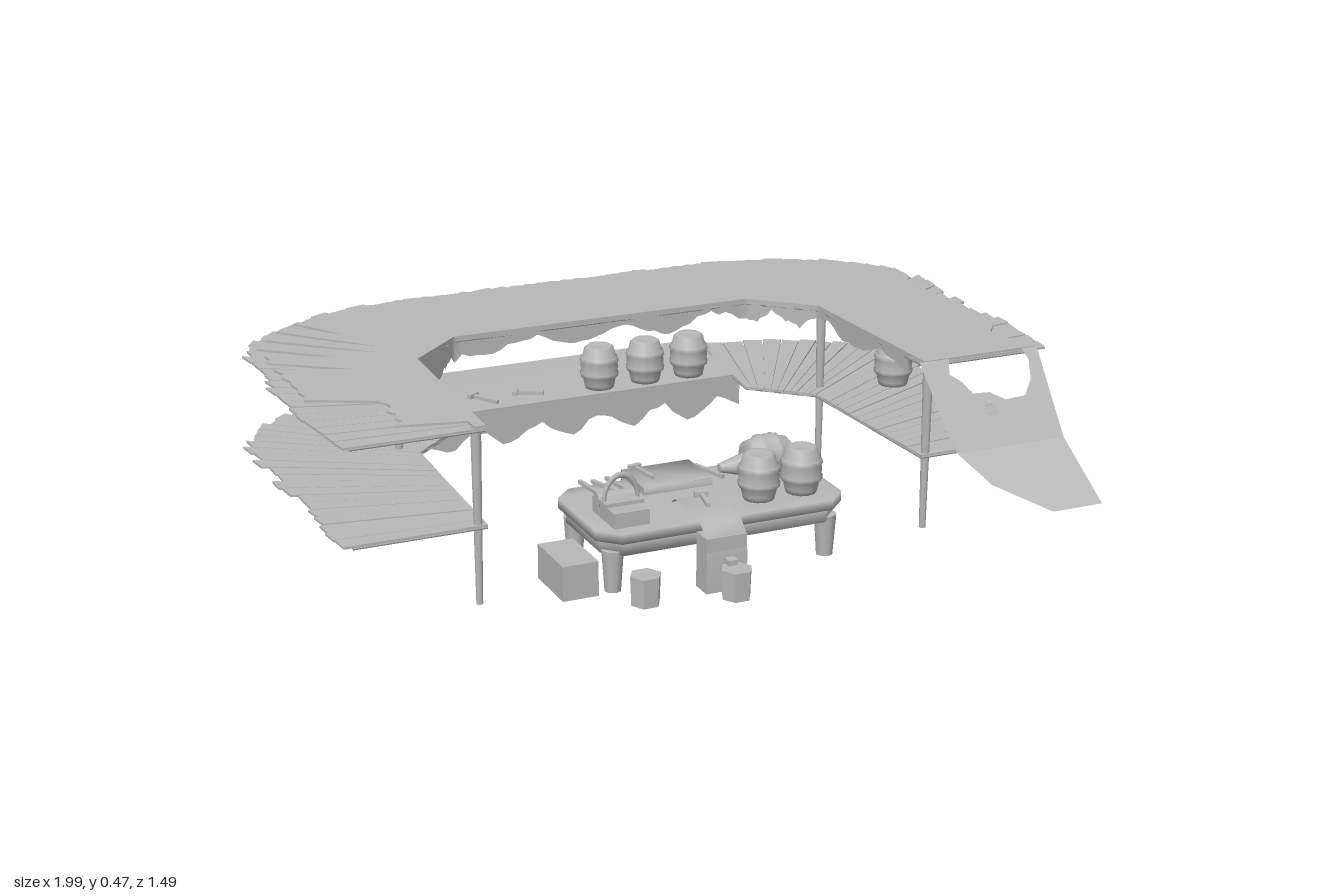
import * as THREE from 'three';
import { mergeVertices } from 'three/addons/utils/BufferGeometryUtils.js';

export function createModel() {
  const root = new THREE.Group();
  const grey = new THREE.MeshStandardMaterial({ color: 0xb8b8b8, side: THREE.DoubleSide });
  grey.name = 'plain grey';
  let seed = 7;
  const rnd = () => (seed = (seed * 16807) % 2147483647) / 2147483647;
  const lerp = (a, b, t) => a + (b - a) * t;
  const mix = (p, q, t) => p.map((v, i) => lerp(v, q[i], t));

  const add = (name, geo, x = 0, y = 0, z = 0, parent = root) => {
    const m = new THREE.Mesh(geo, grey);
    m.name = name;
    m.position.set(x, y, z);
    parent.add(m);
    return m;
  };
  const group = (name) => {
    const g = new THREE.Group();
    g.name = name;
    root.add(g);
    return g;
  };
  // flat slab from an outline of [x, z] points
  const slab = (pts, y, h) => {
    const s = new THREE.Shape(pts.map(([x, z]) => new THREE.Vector2(x, -z)));
    return new THREE.ExtrudeGeometry(s, { depth: h, bevelEnabled: false }).rotateX(-Math.PI / 2).translate(0, y, 0);
  };
  // share corners so the shading runs softly over the edges
  const soften = (geo) => {
    geo.deleteAttribute('normal');
    geo.deleteAttribute('uv');
    const g = mergeVertices(geo);
    g.computeVertexNormals();
    return g;
  };
  // open strip between two rows of points
  const strip = (a, b) => {
    const pos = [], idx = [];
    a.forEach((p, i) => {
      pos.push(...p, ...b[i]);
      if (i) idx.push(2 * i - 2, 2 * i - 1, 2 * i, 2 * i, 2 * i - 1, 2 * i + 1);
    });
    const g = new THREE.BufferGeometry();
    g.setAttribute('position', new THREE.Float32BufferAttribute(pos, 3));
    g.setIndex(idx);
    g.computeVertexNormals();
    return g;
  };

  // U-shaped plan: u 0-1 wing, 1-2 corner, 2-3 half of the back; f goes inner to outer
  const plan = (side, u, f) => {
    let a, b;
    if (u <= 1) {
      a = mix([0.6, 0.4], [0.58, -0.15], u);
      b = mix([0.965, 0.4], [0.965, -0.42], u);
    } else if (u <= 2) {
      const t = u - 1;
      a = mix([0.58, -0.15], [0.43, -0.29], t);
      b = mix(mix([0.965, -0.42], [0.86, -0.65], t), mix([0.86, -0.65], [0.48, -0.7], t), t);
    } else {
      a = mix([0.43, -0.29], [0, -0.29], u - 2);
      b = mix([0.48, -0.7], [0, -0.7], u - 2);
    }
    const [x, z] = mix(a, b, f);
    return [x * side, z];
  };

  // rows of uneven planks over a soft-shaded underside
  const planks = (name, y, counts) => {
    const g = group(name);
    for (const side of [-1, 1]) {
      counts.forEach((n, k) => {
        for (let i = 0; i < n; i++) {
          const u0 = k + (i + 0.02) / n, u1 = k + (i + 0.96) / n;
          const f = [0.97, 0.94, 0.91][k] + rnd() * [0.1, 0.06, 0.08][k];
          add('plank', slab([plan(side, u0, 0), plan(side, u1, 0),
            plan(side, u1, f + rnd() * 0.025), plan(side, u0, f)], y + rnd() * 0.002, 0.006), 0, 0, 0, g);
        }
      });
      const near = [], far = [];
      for (let i = 0; i <= counts.length * 8; i++) {
        near.push(plan(side, i / 8, 0));
        far.push(plan(side, i / 8, 0.93));
      }
      add('underside', soften(slab([...near, ...far.reverse()], y - 0.003, 0.005)), 0, 0, 0, g);
    }
  };
  planks('roofPlanks', 0.451, [15, 11, 11]);
  planks('shelfPlanks', 0.202, [15, 11]);

  // ragged roof cover, with bare planks near the front ends
  const inner = [], outer = [];
  for (let i = 0; i <= 150; i++) {
    const side = i < 75 ? -1 : 1, u = 3 - Math.abs(i - 75) / 25;
    let f = 0.91 + (i % 2) * 0.035 * rnd();
    if (side < 0) {
      if (u < 0.12) f = 0.08;
      else if (u < 0.42) f = 0.45 + rnd() * 0.12;
      else if (u > 0.68 && u < 1.6 && i % 4 === 0) f = 0.2 + rnd() * 0.45;
    } else if (u > 0.08 && u < 0.3) f = 0.78 + rnd() * 0.1;
    inner.push(plan(side, u, 0));
    outer.push(plan(side, u, f));
  }
  add('roofCover', slab([...inner, ...outer.reverse()], 0.459, 0.006));

  // torn valance under the inner roof edge
  const hang = (pts, y, depth) => strip(pts.map(([x, z]) => [x, y, z]),
    pts.map(([x, z], i) => [x, y - depth(i), z]));
  const edge = [];
  for (let i = 3; i <= 117; i++) edge.push(i < 60 ? plan(-1, i / 20, 0) : plan(1, 6 - i / 20, 0));
  add('roofValance', hang(edge, 0.46, (i) =>
    0.035 + 0.018 * Math.sin(i * 0.5) + rnd() * 0.015 + (i > 19 && i < 38 ? 0.025 : 0)));

  // back shelf board and its torn hanging
  add('shelfBoard', soften(new THREE.BoxGeometry(0.93, 0.008, 0.345)), 0, 0.205, -0.573);
  const front = [];
  for (let i = 0; i <= 40; i++) front.push([-0.465 + i * 0.02325, -0.4]);
  add('shelfHanging', hang(front, 0.205, (i) => 0.075 + 0.025 * Math.sin(i * 0.8) + rnd() * 0.015));

  // posts
  for (const x of [-0.62, 0.62]) for (const z of [0.385, -0.205])
    add('post', new THREE.CylinderGeometry(0.014, 0.009, 0.46, 8), x, 0.23, z);

  // front flap, in two panels bent along a fold; second coordinate is z
  const flap = (pts, holes = []) => {
    const s = new THREE.Shape(pts.map((p) => new THREE.Vector2(...p)));
    s.holes = holes.map((h) => new THREE.Path(h.map((p) => new THREE.Vector2(...p))));
    const g = new THREE.ShapeGeometry(s), p = g.attributes.position;
    for (let i = 0; i < p.count; i++) {
      const z = p.getY(i);
      p.setXYZ(i, p.getX(i), z < 0.55 ? lerp(0.463, 0.26, (z - 0.4) / 0.15) : lerp(0.26, 0.143, (z - 0.55) / 0.19), z);
    }
    g.computeVertexNormals();
    return g;
  };
  add('frontFlapUpper', flap([[0.585, 0.4], [0.67, 0.4], [0.66, 0.425], [0.69, 0.44], [0.71, 0.46], [0.76, 0.462],
    [0.8, 0.477], [0.86, 0.475], [0.89, 0.45], [0.9, 0.42], [0.89, 0.4], [0.935, 0.4], [0.935, 0.55], [0.618, 0.55], [0.6, 0.48]],
  [[[0.73, 0.485], [0.75, 0.475], [0.77, 0.487], [0.765, 0.502], [0.74, 0.5]]]));
  add('frontFlapLower', flap([[0.618, 0.55], [0.935, 0.55], [0.935, 0.74], [0.79, 0.74], [0.665, 0.645]]));

  // table
  const oct = (x0, x1, z0, z1, c) => [[x0 + c, z0], [x1 - c, z0], [x1, z0 + c], [x1, z1 - c],
    [x1 - c, z1], [x0 + c, z1], [x0, z1 - c], [x0, z0 + c]];
  const table = group('table');
  add('tableTop', soften(slab(oct(-0.335, 0.345, 0.145, 0.49, 0.05), 0.138, 0.027)), 0, 0, 0, table);
  add('tableApron', soften(slab(oct(-0.318, 0.328, 0.162, 0.473, 0.045), 0.1, 0.04)), 0, 0, 0, table);
  for (const x of [-0.29, 0.3]) for (const z of [0.195, 0.44])
    add('tableLeg', new THREE.CylinderGeometry(0.03, 0.022, 0.11, 8), x, 0.055, z, table);

  // cloths that drape over the table edges down to the ground
  const drape = (name, x0, x1, line) => add(name,
    strip(line.map(([z, y]) => [x0, y, z]), line.map(([z, y]) => [x1, y, z])), 0, 0, 0, table);
  drape('frontRunner', -0.09, 0.02, [[0.35, 0.17], [0.37, 0.185], [0.48, 0.185], [0.52, 0.175], [0.55, 0.15], [0.562, 0.1], [0.562, 0.003]]);
  add('runnerSide', slab([[-0.09, 0.5], [0.02, 0.5], [0.02, 0.56], [-0.09, 0.56]], 0, 0.145), 0, 0, 0, table);
  drape('backRunner', -0.13, 0.062, [[0.27, 0.165], [0.27, 0.186], [0.125, 0.186], [0.125, 0.003]]);
  add('backRunnerFold', new THREE.BoxGeometry(0.19, 0.18, 0.014), -0.034, 0.093, 0.133, table);
  add('board', new THREE.BoxGeometry(0.19, 0.02, 0.14), -0.034, 0.175, 0.2, table);

  // barrels with raised hoops
  const profile = [[0, 0], [0.04, 0], [0.043, 0.012], [0.047, 0.032], [0.053, 0.034], [0.055, 0.046], [0.051, 0.048],
    [0.053, 0.062], [0.051, 0.076], [0.055, 0.078], [0.053, 0.09], [0.047, 0.092], [0.042, 0.115], [0.034, 0.122], [0.03, 0.118], [0, 0.118]];
  const barrelGeo = new THREE.LatheGeometry(profile.map((p) => new THREE.Vector2(...p)), 12);
  for (const [x, y, z] of [[0.055, 0.209, -0.455], [0.195, 0.209, -0.455], [0.33, 0.209, -0.455],
    [0.82, 0.209, -0.145], [0.13, 0.165, 0.4], [0.25, 0.165, 0.4]]) add('barrel', barrelGeo, x, y, z);
  add('lyingBarrel', barrelGeo, 0.17, 0.215, 0.24).rotation.z = -Math.PI / 2;
  add('spilledJug', new THREE.CylinderGeometry(0.012, 0.035, 0.085, 8), 0.135, 0.198, 0.245).rotation.z = Math.PI / 2;

  // basket with an arched handle
  const basket = group('basket');
  add('basketBody', new THREE.BoxGeometry(0.095, 0.04, 0.14), -0.242, 0.185, 0.382, basket);
  add('basketRim', new THREE.BoxGeometry(0.105, 0.01, 0.05), -0.242, 0.21, 0.382, basket);
  add('basketHandle', new THREE.TorusGeometry(0.045, 0.006, 6, 14, Math.PI), -0.242, 0.215, 0.382, basket).scale.y = 1.4;
  add('basketBundle', new THREE.CylinderGeometry(0.02, 0.02, 0.1, 8), -0.242, 0.205, 0.345, basket).rotation.z = Math.PI / 2;

  // small tools
  const tool = (x, y, z, len, turn, head) => {
    const g = group('tool');
    add('toolHandle', new THREE.BoxGeometry(0.01, 0.01, len), 0, 0, 0, g);
    if (head) add('toolHead', new THREE.BoxGeometry(0.035, 0.015, 0.014), 0, 0, -len / 2, g);
    g.position.set(x, y, z);
    g.rotation.y = turn;
  };
  tool(-0.24, 0.172, 0.19, 0.13, 0.1, false);
  tool(-0.2, 0.172, 0.19, 0.11, 0.3, false);
  tool(-0.165, 0.172, 0.19, 0.12, 0.15, false);
  tool(-0.09, 0.192, 0.18, 0.09, 0.15, true);
  tool(0.09, 0.172, 0.19, 0.11, 0.3, false);
  tool(-0.03, 0.192, 0.42, 0.08, -0.2, true);
  tool(-0.28, 0.214, -0.47, 0.09, 0.5, true);
  tool(-0.15, 0.214, -0.47, 0.08, 1.1, true);

  // crate and hexagonal stools on the ground
  add('crate', new THREE.BoxGeometry(0.095, 0.092, 0.165), -0.383, 0.046, 0.377);
  const hex = new THREE.CylinderGeometry(0.041, 0.038, 0.077, 6).rotateY(Math.PI / 6).toNonIndexed();
  hex.computeVertexNormals();
  add('stool', hex, -0.25, 0.039, 0.55);
  add('stool', hex, -0.03, 0.039, 0.605);
  add('stoolKnob', new THREE.BoxGeometry(0.025, 0.015, 0.025), -0.03, 0.084, 0.575);

  return root;
}
